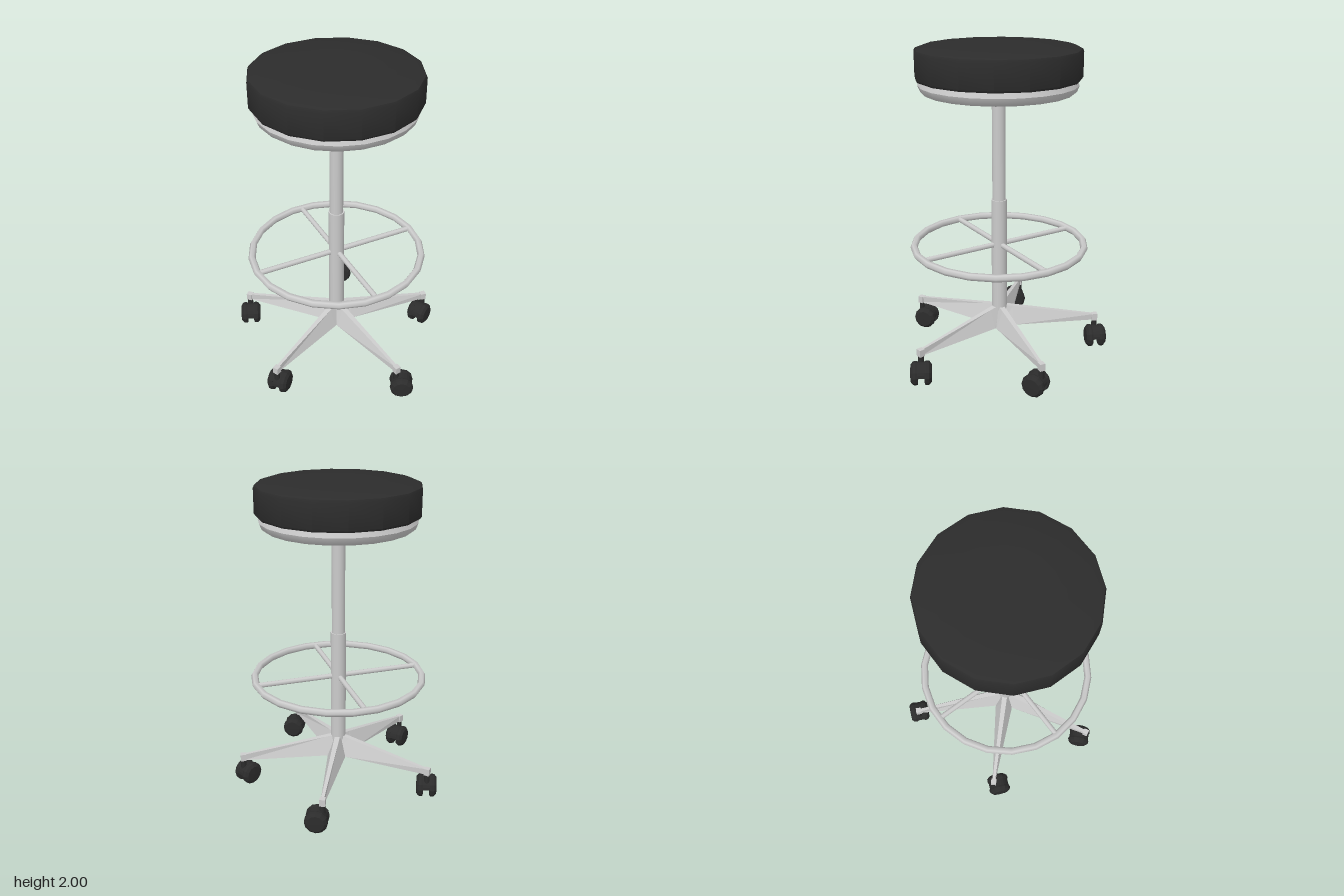
import * as THREE from 'three';
import { toCreasedNormals } from 'three/addons/utils/BufferGeometryUtils.js';

const rad = THREE.MathUtils.degToRad;
const grey = new THREE.MeshStandardMaterial({ color: 0xcccccc });
const greyFlat = new THREE.MeshStandardMaterial({ color: 0xcccccc, flatShading: true });
const black = new THREE.MeshStandardMaterial({ color: 0x2c2c2c });
const blackFlat = new THREE.MeshStandardMaterial({ color: 0x2c2c2c, flatShading: true });

function add(parent, name, geometry, material, x = 0, y = 0, z = 0) {
  const mesh = new THREE.Mesh(geometry, material);
  mesh.name = name;
  mesh.position.set(x, y, z);
  parent.add(mesh);
  return mesh;
}

// Lathe from [radius, height] pairs, with sharp edges kept
function turned(profile, sides, start = 0) {
  const points = profile.map(([r, y]) => new THREE.Vector2(r, y));
  return toCreasedNormals(new THREE.LatheGeometry(points, sides, start), 0.6);
}

// Tapered leg along +z: wide foot at the hub, narrow ridge on top
function legGeometry(length) {
  const geo = new THREE.BoxGeometry(1, 1, 1, 1, 1, 2);
  const p = geo.attributes.position;
  for (let i = 0; i < p.count; i++) {
    const top = p.getY(i) > 0;
    const z = [0, 0.09, length][Math.round((p.getZ(i) + 0.5) * 2)];
    const t = z / length;
    const taper = Math.max(0, (z - 0.09) / (length - 0.09));
    const half = top ? 0.018 - 0.009 * t : 0.058 - 0.049 * taper;
    const y = top ? 0.32 - 0.105 * t : 0.19 - 0.015 * t;
    p.setXYZ(i, Math.sign(p.getX(i)) * half, y, z);
  }
  return geo;
}

// Twin-wheel caster trailing toward +z from its stem
function makeCaster() {
  const caster = new THREE.Group();
  caster.name = 'caster';
  const r = 0.074, trail = 0.035;
  const wheel = new THREE.LatheGeometry(
    [[0, 0.022], [r - 0.004, 0.022], [r, 0.034], [r - 0.003, 0.05], [r - 0.02, 0.064], [0, 0.066]]
      .map(([a, b]) => new THREE.Vector2(a, b)), 12);
  for (const side of [1, -1]) {
    const mesh = add(caster, side > 0 ? 'leftWheel' : 'rightWheel', wheel, blackFlat, 0, r, trail);
    mesh.rotation.z = -side * Math.PI / 2;
  }
  // Half-round housing between the wheels
  const arch = new THREE.Shape();
  arch.absarc(0, 0, 0.068, 0, Math.PI);
  const housing = new THREE.ExtrudeGeometry(arch, { depth: 0.046, bevelEnabled: false, curveSegments: 6 });
  housing.translate(0, 0, -0.023).rotateY(Math.PI / 2);
  add(caster, 'casterHousing', housing, blackFlat, 0, r, trail);
  add(caster, 'casterStem', new THREE.CylinderGeometry(0.017, 0.02, 0.09, 8), black, 0, 0.14, 0);
  return caster;
}

export function createModel() {
  const stool = new THREE.Group();
  stool.name = 'stool';
  const body = new THREE.Group();
  body.name = 'body';
  body.position.set(-0.005, 0, 0.057);
  stool.add(body);

  // Seat cushion and the hollow rim under it
  add(body, 'cushion', turned(
    [[0, 1.798], [0.495, 1.798], [0.502, 1.81], [0.502, 1.96], [0.495, 1.975], [0.46, 1.987], [0.25, 1.996], [0, 2]],
    16, rad(-9)), black);
  add(body, 'seatRim', turned(
    [[0.395, 1.8], [0.4, 1.745], [0.415, 1.722], [0.452, 1.718], [0.468, 1.73], [0.482, 1.765], [0.47, 1.8]],
    22), grey);

  // Column in two diameters
  add(body, 'lowerColumn', new THREE.CylinderGeometry(0.049, 0.049, 0.84, 16), grey, 0, 0.62, 0);
  add(body, 'upperColumn', new THREE.CylinderGeometry(0.042, 0.042, 0.8, 16), grey, 0, 1.4, 0);

  // Foot ring with two crossing bars
  const ring = add(body, 'footRing', new THREE.TorusGeometry(0.54, 0.023, 6, 22), grey, 0, 0.742, 0);
  ring.rotation.set(-Math.PI / 2, 0, Math.PI / 2);
  for (const angle of [25, 115]) {
    const bar = add(body, 'footRingBar', new THREE.CylinderGeometry(0.017, 0.017, 1.07, 8), grey, 0, 0.742, 0);
    bar.rotation.set(Math.PI / 2, 0, 0);
    bar.rotation.order = 'YXZ';
    bar.rotation.y = rad(angle);
  }

  // Five-leg base; each caster swivels to its own heading
  const reach = 0.635;
  const leg = legGeometry(reach);
  const headings = [90, 2, 157, 87, -36];
  headings.forEach((heading, i) => {
    const angle = rad(178.7 + 72 * i);
    const arm = new THREE.Group();
    arm.name = 'baseLeg';
    arm.rotation.y = angle;
    body.add(arm);
    add(arm, 'leg', leg, greyFlat);
    add(arm, 'legEnd', new THREE.BoxGeometry(0.036, 0.046, 0.036), greyFlat, 0, 0.195, reach);
    const caster = makeCaster();
    caster.position.set(Math.sin(angle) * reach, 0, Math.cos(angle) * reach);
    caster.rotation.y = rad(heading);
    body.add(caster);
  });

  return stool;
}
